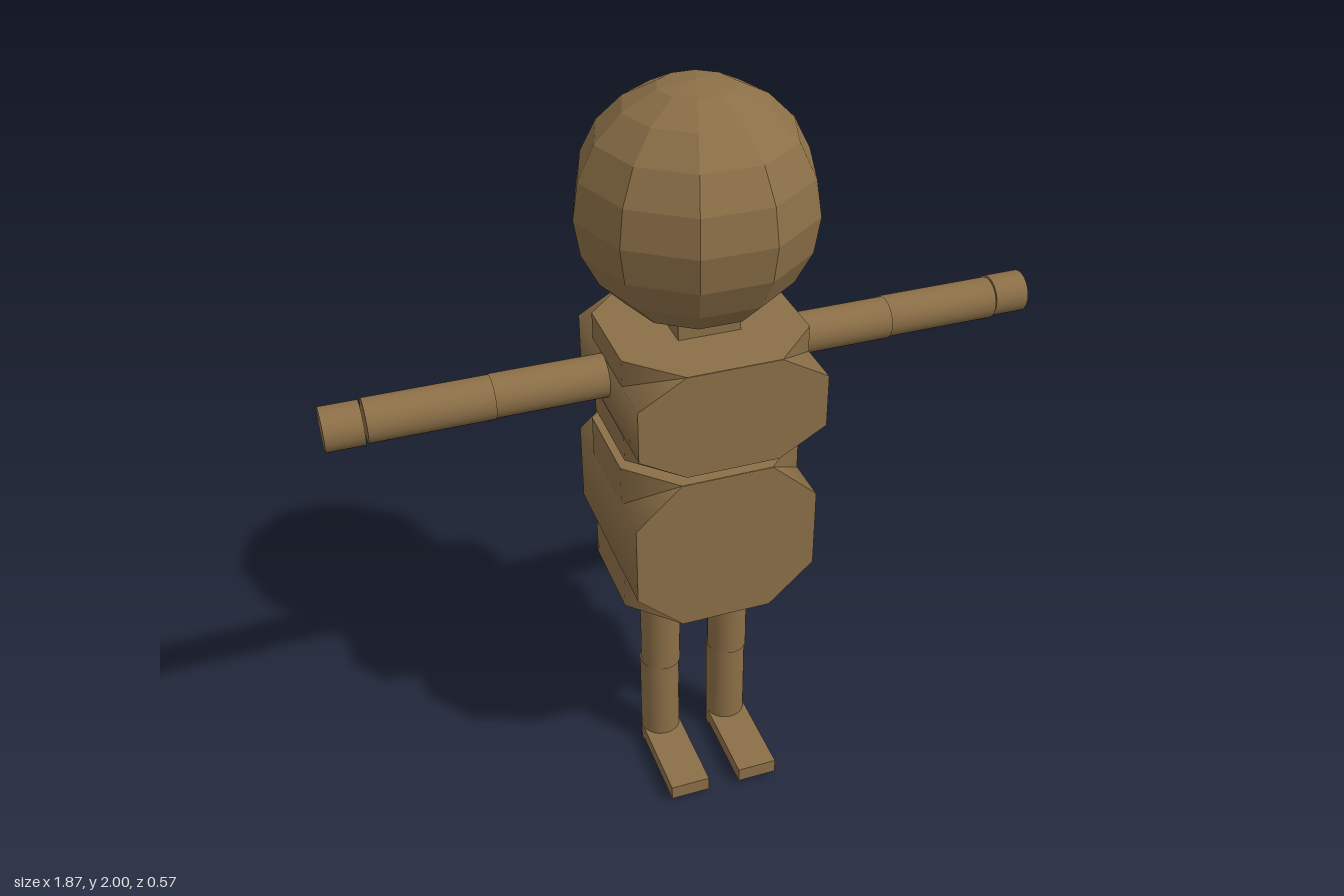
import * as THREE from 'three';

const brown = new THREE.MeshStandardMaterial({ color: 0x8b6f47 });
brown.name = 'brown';
const brownFaceted = brown.clone();
brownFaceted.name = 'brown';
brownFaceted.flatShading = true;

function add(group, name, geometry, x, y, z, material = brown) {
  const mesh = new THREE.Mesh(geometry, material);
  mesh.name = name;
  mesh.position.set(x, y, z);
  group.add(mesh);
  return mesh;
}

// Eight-sided prism in a 2 x 2 x 2 cube, each corner cut at half the half-width
function octagonPrism() {
  const g = new THREE.CylinderGeometry(1 / Math.cos(Math.PI / 8), 1 / Math.cos(Math.PI / 8), 2, 8);
  g.rotateY(Math.PI / 8);
  const p = g.attributes.position;
  const cut = (v) => (Math.abs(v) < 0.2 ? 0 : Math.sign(v) * (Math.abs(v) < 0.7 ? 0.5 : 1));
  for (let i = 0; i < p.count; i++) p.setXYZ(i, cut(p.getX(i)), p.getY(i), cut(p.getZ(i)));
  return g;
}

// Body block: one prism facing front, crossed by an upright one
function bodyBlock(name, w, h, d, x, y, z) {
  const block = new THREE.Group();
  block.name = name;
  block.position.set(x, y, z);
  const facing = octagonPrism().rotateX(Math.PI / 2).scale(w / 2, h / 2, d / 2);
  const upright = octagonPrism().scale(w / 2 - 0.001, h / 2 + 0.001, d / 2 - 0.001);
  add(block, name + 'Facing', facing, 0, 0, 0);
  add(block, name + 'Upright', upright, 0, 0, 0);
  return block;
}

export function createModel() {
  const model = new THREE.Group();
  model.name = 'figure';

  // Head, neck and waist
  add(model, 'head', new THREE.SphereGeometry(0.3, 10, 10), -0.005, 1.7, 0, brownFaceted);
  add(model, 'neck', new THREE.BoxGeometry(0.16, 0.08, 0.16), -0.01, 1.41, 0.03);
  add(model, 'waist', new THREE.BoxGeometry(0.16, 0.08, 0.16), -0.01, 1.095, -0.005);

  // Torso
  model.add(bodyBlock('chest', 0.48, 0.28, 0.485, -0.007, 1.26, 0.032));
  model.add(bodyBlock('hips', 0.48, 0.44, 0.49, -0.008, 0.85, -0.005));

  // Arms: [name, inner x, outer x, y, z]
  const armParts = [
    ['leftUpperArm', 0.2, 0.523, 1.275, -0.025],
    ['leftForearm', 0.523, 0.83, 1.272, -0.035],
    ['leftHand', 0.838, 0.932, 1.27, -0.045],
    ['rightUpperArm', -0.2, -0.53, 1.277, 0.005],
    ['rightForearm', -0.53, -0.835, 1.281, 0.015],
    ['rightHand', -0.842, -0.936, 1.283, 0.023],
  ];
  for (const [name, x0, x1, y, z] of armParts) {
    const g = new THREE.CylinderGeometry(0.055, 0.055, Math.abs(x1 - x0), 32).rotateZ(Math.PI / 2);
    add(model, name, g, (x0 + x1) / 2, y, z);
  }

  // Legs and feet: [side, thigh x, shin x]
  for (const [side, thighX, shinX] of [['left', 0.087, 0.085], ['right', -0.112, -0.115]]) {
    add(model, side + 'Thigh', new THREE.CylinderGeometry(0.055, 0.055, 0.305, 32), thighX, 0.458, -0.002);
    add(model, side + 'Shin', new THREE.CylinderGeometry(0.055, 0.055, 0.306, 32), shinX, 0.153, -0.006);
    add(model, side + 'Foot', new THREE.BoxGeometry(0.11, 0.042, 0.26), shinX, 0.031, 0.128);
  }
  return model;
}
